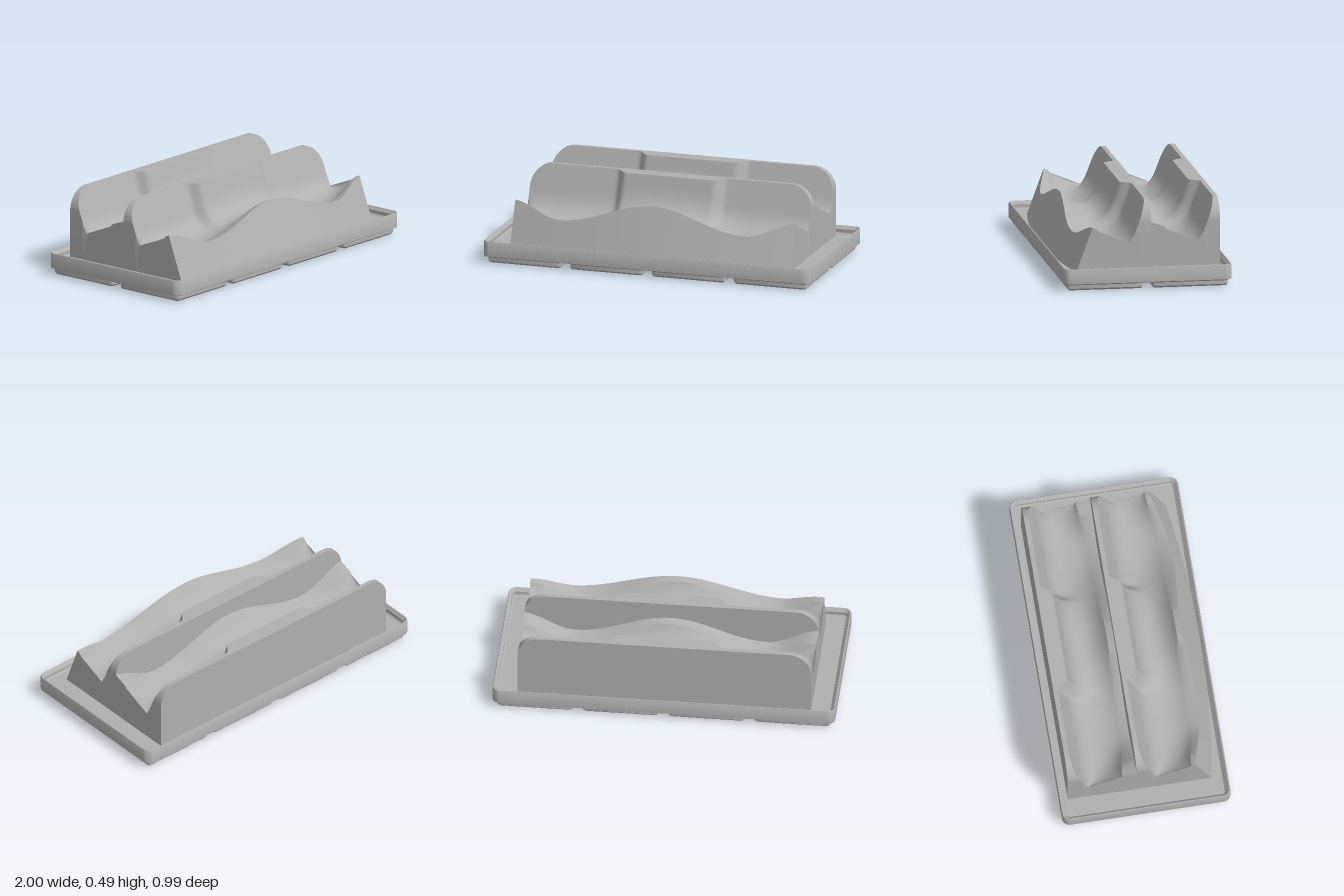
import * as THREE from 'three';
import { toCreasedNormals } from 'three/addons/utils/BufferGeometryUtils.js';

const grey = new THREE.MeshStandardMaterial({ color: 0xb0b0b0 });
grey.name = 'grey plastic';

const lerp = THREE.MathUtils.lerp;
const smooth = THREE.MathUtils.smoothstep;

function makeMesh(name, positions, index, crease) {
  const geo = new THREE.BufferGeometry();
  geo.setAttribute('position', new THREE.Float32BufferAttribute(positions, 3));
  geo.setIndex(index);
  const mesh = new THREE.Mesh(toCreasedNormals(geo, crease), grey);
  mesh.name = name;
  return mesh;
}

// Stack of rounded rectangles, each [halfWidth, halfDepth, cornerRadius, y]
function roundedStack(name, rings) {
  const steps = 8, count = 4 * (steps + 1), pos = [], index = [];
  for (const [w, d, r, y] of rings) {
    for (let c = 0; c < 4; c++) {
      const sx = c === 0 || c === 3 ? 1 : -1, sz = c < 2 ? 1 : -1;
      for (let s = 0; s <= steps; s++) {
        const a = (c + s / steps) * Math.PI / 2;
        pos.push(sx * (w - r) + r * Math.cos(a), y, sz * (d - r) + r * Math.sin(a));
      }
    }
  }
  for (let k = 0; k < rings.length - 1; k++) {
    for (let i = 0; i < count; i++) {
      const a = k * count + i, b = k * count + (i + 1) % count;
      index.push(a, a + count, b + count, a, b + count, b);
    }
  }
  return makeMesh(name, pos, index, 0.5);
}

// Height of the wavy front lip
function lipHeight(ax) {
  if (ax < 0.57) return 0.3275 + 0.0625 * Math.cos(Math.PI * ax / 0.57);
  return 0.265 + 0.04 * (1 - Math.cos(Math.PI * (ax - 0.57) / 0.3));
}

const BASE = 0.07, HALF = 0.857, TILT = 0.364, PITCH = 0.405;

// Cross-section [z, y] of one cradle at x, from the front foot to the back foot
function cradleProfile(x, frontLimit) {
  const ax = Math.abs(x), n = 18, pts = [];
  const h = lipHeight(ax);
  const bulge = 0.385 + 0.07 * (1 - (ax / HALF) ** 2);
  const frontZ = y => bulge - 0.37 * (y - 0.13);
  const lipZ = frontZ(h);

  // Front face and tilted lip
  if (frontLimit === undefined) {
    pts.push([frontZ(BASE), BASE], [lipZ, h]);
  } else {
    pts.push([frontLimit, BASE], [frontLimit, h + TILT * (frontLimit - lipZ)]);
  }
  const innerZ = 0.325 - 0.043 * smooth(ax, 0.6, HALF);
  const A = [innerZ, h - TILT * (lipZ - innerZ)];

  // Backrest: thicker in the middle, rounded top corners
  const mid = 1 - smooth(ax, 0.27, 0.335);
  const hump = 1 - smooth(ax, 0.1, 0.5);
  const over = Math.max(0, ax - 0.727);
  const top = 0.36 + Math.sqrt(Math.max(0, 0.13 ** 2 - over ** 2));
  const T = [lerp(-0.013 + (0.49 - top) * TILT, 0.05, mid), top];
  const B = [lerp(0.043, 0.07, mid), lerp(0.337, 0.425, mid)];

  // Scooped pocket, blending to a V-shaped notch at the ends
  const curve = new THREE.CubicBezierCurve(
    new THREE.Vector2(...A),
    new THREE.Vector2(lerp(0.22, 0.25, hump), lerp(0.18, 0.25, hump)),
    new THREE.Vector2(lerp(0.085, 0.12, mid), lerp(0.21, 0.25, hump)),
    new THREE.Vector2(...B));
  const u = THREE.MathUtils.clamp((ax - 0.72) / (HALF - 0.72), 0, 1);
  const end = 1 - Math.sqrt(1 - u * u);
  const notch = [[0, A], [2, [0.27, 0.32]], [11, [0.08, 0.242]], [n, B]];
  for (let i = 0; i <= n; i++) {
    const p = curve.getPoint(i / n);
    const s = notch.findIndex((q, k) => k > 0 && i <= q[0]);
    const [i0, p0] = notch[s - 1], [i1, p1] = notch[s];
    const t = (i - i0) / (i1 - i0);
    pts.push([lerp(p.x, lerp(p0[0], p1[0], t), end), lerp(p.y, lerp(p0[1], p1[1], t), end)]);
  }

  // Backrest top and vertical rear wall
  pts.push(T, [-0.04, top], [-0.04, BASE]);
  return pts;
}

function cradle(name, shift, frontLimit) {
  const segs = 200, pos = [], index = [];
  let n = 0;
  for (let i = 0; i <= segs; i++) {
    const x = HALF * Math.sin((i / segs - 0.5) * Math.PI);
    const profile = cradleProfile(x, frontLimit);
    n = profile.length;
    for (const [z, y] of profile) pos.push(x, y, z + shift);
  }
  for (let i = 0; i < segs; i++) {
    for (let j = 0; j < n - 1; j++) {
      const a = i * n + j, b = a + n;
      index.push(a, b, b + 1, a, b + 1, a + 1);
    }
  }
  // Flat end walls
  for (const side of [0, segs]) {
    const topStart = side * n, floor = pos.length / 3;
    for (let j = 0; j < n; j++) {
      const k = (topStart + j) * 3;
      pos.push(pos[k], BASE, pos[k + 2]);
    }
    for (let j = 0; j < n - 1; j++) {
      const t = topStart + j, f = floor + j;
      if (side) index.push(t, f, f + 1, t, f + 1, t + 1);
      else index.push(t, f + 1, f, t, t + 1, f + 1);
    }
  }
  return makeMesh(name, pos, index, 0.6);
}

export function createModel() {
  const model = new THREE.Group();
  model.name = 'twin cradle stand';

  // Tray with a raised stepped rim
  model.add(roundedStack('tray', [
    [0, 0, 0, 0.04],
    [0.998, 0.493, 0.043, 0.04],
    [1, 0.495, 0.045, 0.042],
    [1, 0.495, 0.045, 0.124],
    [0.997, 0.492, 0.042, 0.13],
    [0.993, 0.488, 0.038, 0.13],
    [0.977, 0.472, 0.022, 0.112],
    [0.977, 0.472, 0.022, 0.092],
    [0.968, 0.463, 0.015, 0.083],
    [0, 0, 0, 0.083],
  ]));

  // Eight stepped feet
  for (let ix = 0; ix < 4; ix++) {
    for (let iz = 0; iz < 2; iz++) {
      const foot = roundedStack('foot', [
        [0, 0, 0, 0],
        [0.213, 0.213, 0.012, 0],
        [0.222, 0.222, 0.02, 0.01],
        [0.222, 0.222, 0.02, 0.031],
        [0.234, 0.234, 0.032, 0.042],
      ]);
      foot.position.set(-0.75 + ix * 0.5, 0, -0.25 + iz * 0.5);
      model.add(foot);
    }
  }

  // The rear cradle starts at the back wall of the front one
  model.add(cradle('frontCradle', 0));
  model.add(cradle('rearCradle', -PITCH, PITCH - 0.04));
  return model;
}
